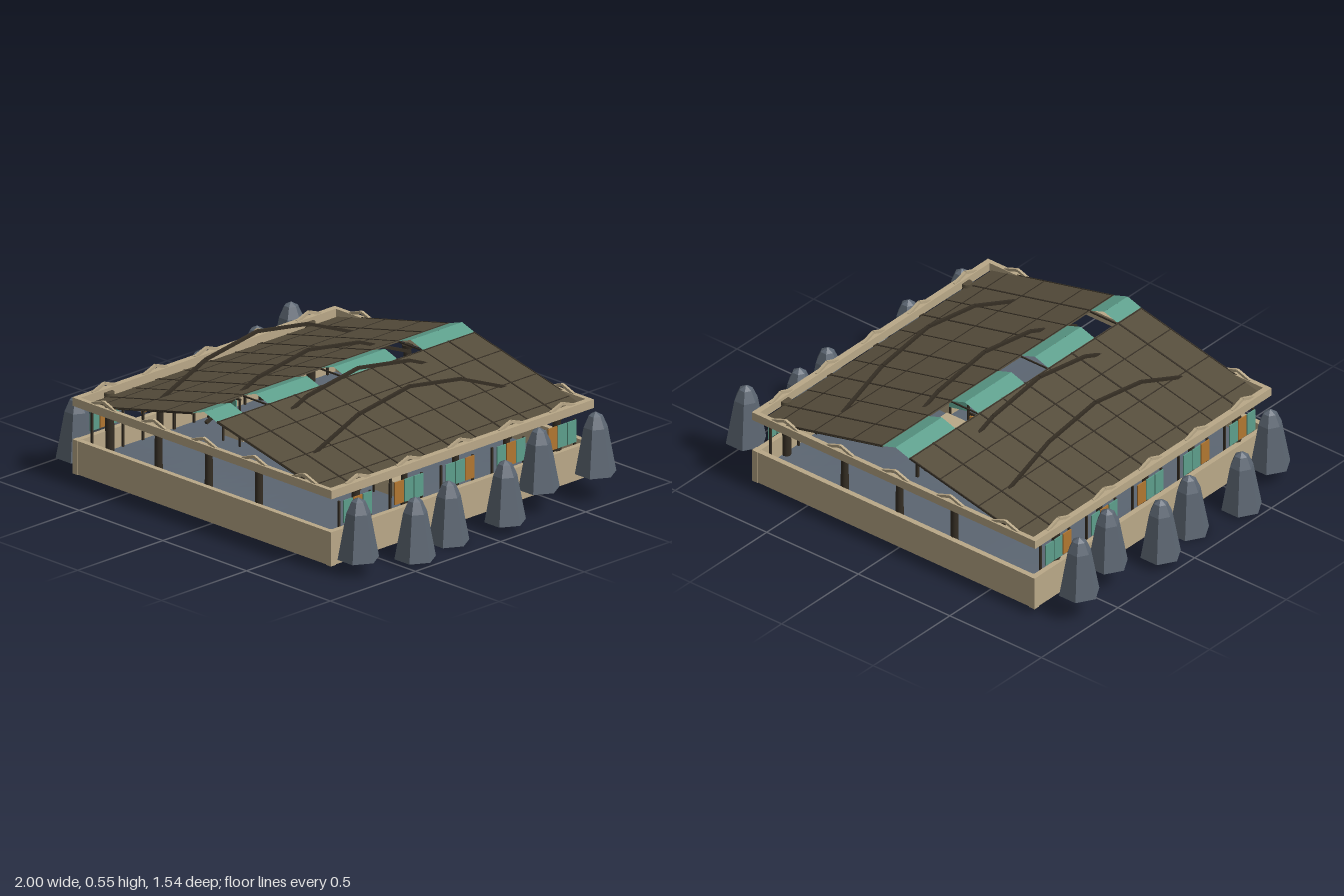
import * as THREE from 'three';

const mat = (name, color) => {
  const m = new THREE.MeshStandardMaterial({ color });
  m.name = name;
  return m;
};

export function createModel() {
  const M = {
    stone: mat('sandstone', 0xbaa988),
    slate: mat('slate', 0x5c6672),
    roof: mat('brown shingle', 0x564d3b),
    dark: mat('dark timber', 0x352e24),
    teal: mat('teal cloth', 0x5d9f8c),
    orange: mat('ochre cloth', 0xb27731),
  };
  M.slate.flatShading = true;
  M.slate.side = M.teal.side = THREE.DoubleSide;

  const root = new THREE.Group();
  root.name = 'marketHall';
  const add = (name, geo, material, x = 0, y = 0, z = 0, parent = root) => {
    const mesh = new THREE.Mesh(geo, material);
    mesh.name = name;
    mesh.position.set(x, y, z);
    parent.add(mesh);
    return mesh;
  };
  const box = (name, w, h, d, material, x, y, z, parent) =>
    add(name, new THREE.BoxGeometry(w, h, d), material, x, y, z, parent);
  // straight square bar between two points of its parent
  const bar = (name, a, b, t, material, parent = root) => {
    const p = new THREE.Vector3(...a), q = new THREE.Vector3(...b);
    const mesh = new THREE.Mesh(new THREE.BoxGeometry(t, t, p.distanceTo(q)), material);
    mesh.name = name;
    mesh.position.copy(p).lerp(q, 0.5);
    mesh.lookAt(q);
    parent.add(mesh);
  };

  // retaining walls and eaves beams around the square
  for (const s of [-1, 1]) {
    box('baseWall', 1.54, 0.15, 0.025, M.stone, 0, 0.108, s * 0.757);
    box('baseWall', 0.025, 0.15, 1.49, M.stone, s * 0.757, 0.108, 0);
    box('eavesBeam', 1.54, 0.038, 0.022, M.stone, 0, 0.352, s * 0.759);
    box('eavesBeam', 0.028, 0.038, 1.54, M.stone, s * 0.76, 0.352, 0);
    for (const t of [-1, 1])
      box('cornerPier', 0.03, 0.153, 0.03, M.stone, s * 0.757, 0.108, t * 0.757);
  }

  // gently uneven floor
  const floorGeo = new THREE.PlaneGeometry(1.5, 1.5, 24, 24).rotateX(-Math.PI / 2);
  const fp = floorGeo.attributes.position;
  for (let i = 0; i < fp.count; i++)
    fp.setY(i, 0.09 + 0.012 * Math.sin(fp.getX(i) * 4) * Math.cos(fp.getZ(i) * 3.5));
  floorGeo.computeVertexNormals();
  add('floor', floorGeo, M.slate);

  // columns with capital and foot
  const column = (x, z, r) => {
    const g = new THREE.Group();
    g.name = 'column';
    g.position.set(x, 0, z);
    root.add(g);
    add('shaft', new THREE.CylinderGeometry(r, r * 1.15, 0.28, 8), M.dark, 0, 0.195, 0, g);
    add('capital', new THREE.CylinderGeometry(r * 1.5, r * 1.3, 0.018, 8), M.dark, 0, 0.328, 0, g);
    add('foot', new THREE.CylinderGeometry(r * 1.4, r * 1.6, 0.03, 8), M.dark, 0, 0.06, 0, g);
  };
  for (const s of [-1, 1]) {
    for (const x of [-0.3, 0, 0.3]) column(x, s * 0.73, 0.016);
    for (const z of [-0.3, 0, 0.3]) column(s * 0.73, z, 0.014);
    for (const t of [-1, 1]) {
      column(s * 0.735, t * 0.59, 0.018);
      add('columnCap', new THREE.CylinderGeometry(0.025, 0.025, 0.016, 12), M.roof, s * 0.74, 0.349, t * 0.59);
    }
  }

  // small chevron braces along the eaves
  for (let side = 0; side < 4; side++) {
    const g = new THREE.Group();
    g.name = 'eavesChevrons';
    g.rotation.y = side * Math.PI / 2;
    root.add(g);
    for (const c of [-0.6, -0.3, 0, 0.3, 0.6])
      for (const s of [-1, 1])
        bar('chevron', [c + s * 0.07, 0.368, 0.757], [c, 0.393, 0.757], 0.012, M.stone, g);
  }

  // two roof slopes with battens
  const slope = Math.atan(0.225), len = 0.68;
  for (const turn of [0, Math.PI]) {
    const g = new THREE.Group();
    g.name = 'roofSlope';
    g.rotation.y = turn;
    root.add(g);
    const p = new THREE.Group();
    p.position.set(0.073, 0.485, 0);
    p.rotation.z = -slope;
    g.add(p);
    box('roofSheet', len, 0.005, 1.51, M.roof, len / 2, 0, 0, p);
    for (let i = -5; i <= 5; i++)
      box('crossBatten', len, 0.009, i % 2 ? 0.005 : 0.008, M.dark, len / 2, 0, i * 0.1505, p);
    for (const x of [0.005, 0.17, 0.385, 0.59])
      box('longBatten', 0.005, 0.008, 1.51, M.dark, x, 0, 0, p);
  }

  // open-ended folded skylights along the ridge, with gaps between
  for (const [a, b] of [[-0.757, -0.455], [-0.305, -0.002], [0.152, 0.452], [0.603, 0.757]])
    for (const s of [-1, 1]) {
      const pane = add('skylight', new THREE.PlaneGeometry(0.079, b - a).rotateX(-Math.PI / 2),
        M.teal, s * 0.0375, 0.4985, (a + b) / 2);
      pane.rotation.z = -s * Math.atan2(0.025, 0.075);
    }
  for (const z of [-0.457, -0.303, 0, 0.15, 0.455, 0.6])
    box('ridgeTie', 0.15, 0.006, 0.006, M.dark, 0, 0.483, z);

  // arched ribs riding over the roof
  const arch = [[-0.6, 0.38], [-0.3, 0.502], [0, 0.548], [0.3, 0.502], [0.6, 0.38]];
  for (const x of [-0.455, -0.15, 0.15, 0.455])
    for (let i = 0; i < 4; i++)
      bar('roofRib', [x, arch[i][1], arch[i][0]], [x, arch[i + 1][1], arch[i + 1][0]], 0.013, M.dark);

  // cloth banners hung outside the columns, every third one ochre
  for (const s of [-1, 1])
    [0.6, 0.3, 0, -0.3, -0.6].forEach((c, i) => {
      [0.057, 0, -0.057].forEach((o, j) =>
        box('sideBanner', 0.005, 0.1, 0.052, (i + j) % 3 === 1 ? M.orange : M.teal, s * 0.757, 0.25, c + o));
      for (const o of [-0.092, 0.092])
        box('bannerPost', 0.009, 0.21, 0.009, M.dark, s * 0.738, 0.19, c + o);
    });

  // market stalls inside: x, z, cloth, banner turn
  const stalls = [
    [-0.455, 0.15, M.teal, -0.3], [-0.28, 0, M.orange, -0.3], [0.445, 0.15, M.orange, 0.3],
    [0.285, 0, M.teal, 0.3], [0.09, -0.1, M.orange, 0.3],
  ];
  for (const [x, z, cloth, turn] of stalls) {
    const g = new THREE.Group();
    g.name = 'stall';
    g.position.set(x, 0, z);
    root.add(g);
    box('counter', 0.12, 0.065, 0.08, M.stone, 0, 0.1375, -0.05, g);
    for (const s of [-1, 1]) box('stallPost', 0.008, 0.21, 0.008, M.dark, s * 0.05, 0.19, 0, g);
    box('stallBanner', 0.092, 0.085, 0.006, cloth, 0, 0.25, 0, g).rotation.y = turn;
    box('stallRail', 0.11, 0.008, 0.008, M.dark, 0, 0.295, 0, g);
  }
  box('tallCounter', 0.12, 0.13, 0.1, M.stone, -0.38, 0.165, -0.15);

  // hanging board with a small cloth
  box('hangingBoard', 0.07, 0.04, 0.008, M.stone, -0.1, 0.31, -0.25);
  box('boardCloth', 0.035, 0.05, 0.006, M.teal, -0.11, 0.265, -0.25);

  // sunken basin under the floor
  box('basin', 0.45, 0.04, 0.29, M.stone, 0.06, 0.06, -0.32);

  // railings and slatted frame beside the basin
  for (const x of [-0.12, 0.12]) {
    for (let i = 0; i < 5; i++)
      box('railPost', 0.006, 0.14, 0.006, M.dark, x - 0.08 + i * 0.04, 0.165, -0.2);
    box('handRail', 0.17, 0.008, 0.008, M.dark, x, 0.235, -0.2);
  }
  for (const z of [-0.375, -0.318]) {
    box('frameBeam', 0.42, 0.01, 0.008, M.dark, 0, 0.285, z);
    for (const x of [-0.2, 0.2]) box('framePost', 0.012, 0.2, 0.012, M.dark, x, 0.188, z);
  }
  for (let i = -9; i <= 9; i++)
    box('frameSlat', 0.007, 0.006, 0.06, i % 3 ? M.dark : M.orange, i * 0.021, 0.286, -0.345);
  box('frameTrim', 0.15, 0.005, 0.006, M.orange, 0, 0.287, -0.309);

  // pair of lamps under the middle gap
  for (const s of [-1, 1]) {
    add('lampPost', new THREE.CylinderGeometry(0.006, 0.006, 0.17, 6), M.dark, s * 0.068, 0.165, 0.035);
    add('lamp', new THREE.SphereGeometry(0.015, 8, 6), M.orange, s * 0.068, 0.25, 0.035);
  }

  // faceted six-sided spires flanking both sides: x, z, base height
  const profile = [[0, 0], [0.09, 0], [0.052, 0.205], [0.03, 0.255], [0, 0.272]]
    .map(([r, y]) => new THREE.Vector2(r, y));
  const spire = new THREE.LatheGeometry(profile, 6, Math.PI / 2);
  const places = [[0.842, 0.68, 0.065], [0.91, 0.413, 0.015], [0.842, 0.15, 0],
    [0.91, -0.115, 0.04], [0.842, -0.38, 0.097], [0.91, -0.646, 0.115]];
  for (const s of [-1, 1])
    for (const [x, z, y] of places) add('spire', spire, M.slate, s * x, y, z);

  return root;
}
